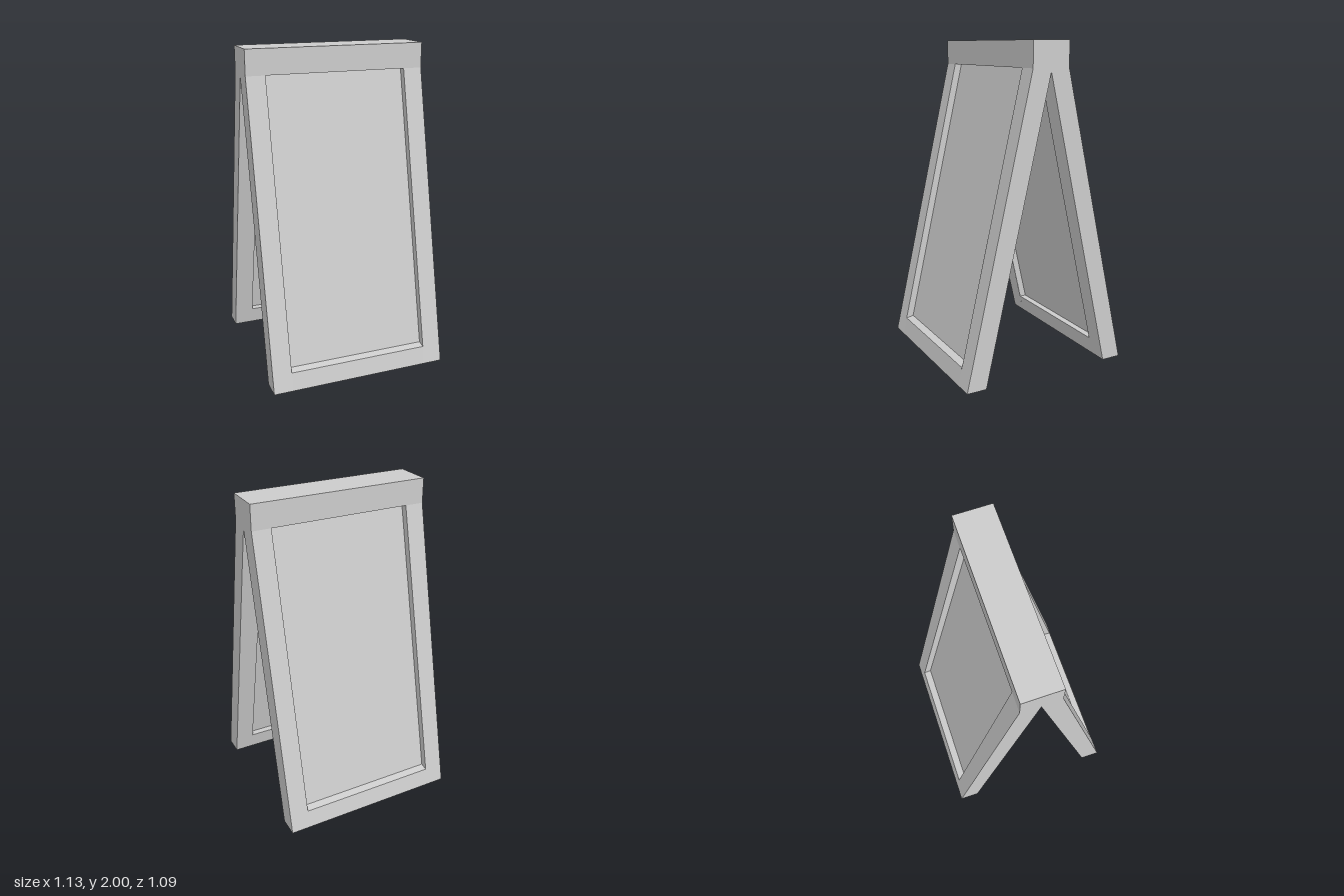
import * as THREE from 'three';

const material = new THREE.MeshStandardMaterial({ color: 0xcccccc, flatShading: true, side: THREE.DoubleSide });
const W = 0.565; // half width of the board
const P = 0.445; // half width of the recessed panel

// Sweeps a [z, y] profile straight along x from x0 to x1
function sweep(name, profile, x0, x1) {
  const positions = [];
  for (let i = 0; i < profile.length - 1; i++) {
    const [z0, y0] = profile[i], [z1, y1] = profile[i + 1];
    positions.push(x0, y0, z0, x1, y0, z0, x1, y1, z1);
    positions.push(x0, y0, z0, x1, y1, z1, x0, y1, z1);
  }
  const geometry = new THREE.BufferGeometry();
  geometry.setAttribute('position', new THREE.Float32BufferAttribute(positions, 3));
  geometry.computeVertexNormals();
  const mesh = new THREE.Mesh(geometry, material);
  mesh.name = name;
  return mesh;
}

// Flat [z, y] outline standing at x, facing dir (+1 or -1) along x
function sideFace(name, outline, x, dir) {
  const shape = new THREE.Shape(outline.map(([z, y]) => new THREE.Vector2(-dir * z, y)));
  const geometry = new THREE.ShapeGeometry(shape).rotateY(dir * Math.PI / 2).translate(x, 0, 0);
  const mesh = new THREE.Mesh(geometry, material);
  mesh.name = name;
  return mesh;
}

// Key points of one leg, as [z, y]
const foot = [0.545, 0], knee = [0.12, 1.845], top = [0.12, 2];
const innerFoot = [0.42, 0], apex = [0, 1.825];
const outerRecess = [[0.52, 0.11], [0.472, 0.12], [0.073, 1.85], knee];
const innerRecess = [apex, [0.045, 1.825], [0.44, 0.11], [0.395, 0.11]];

function createLeg() {
  const leg = new THREE.Group();
  // Outer and inner panels with their rails and ledges
  leg.add(sweep('outerPanel', [foot, ...outerRecess], -P, P));
  leg.add(sweep('innerPanel', [...innerRecess, innerFoot], -P, P));
  // Stiles beside the panels and the recess walls
  for (const s of [-1, 1]) {
    const [x0, x1] = s > 0 ? [P, W] : [-W, -P];
    leg.add(sweep('outerStile', [foot, knee], x0, x1));
    leg.add(sweep('innerStile', [apex, innerFoot], x0, x1));
    leg.add(sideFace('outerRecessWall', outerRecess, s * P, -s));
    leg.add(sideFace('innerRecessWall', innerRecess, s * P, -s));
  }
  return leg;
}

export function createModel() {
  const model = new THREE.Group();
  model.name = 'sandwichBoard';

  // Two mirrored legs, open underneath
  const front = createLeg();
  front.name = 'frontLeg';
  const back = createLeg();
  back.name = 'backLeg';
  back.rotation.y = Math.PI;
  model.add(front, back);

  // Header block joining the legs
  const mirror = ([z, y]) => [-z, y];
  model.add(sweep('header', [knee, top, mirror(top), mirror(knee)], -W, W));

  // A-shaped end faces
  const half = [innerFoot, foot, knee, top];
  const outline = [apex, ...half, ...half.map(mirror).reverse()];
  for (const s of [-1, 1]) model.add(sideFace('endFace', outline, s * W, s));

  return model;
}
